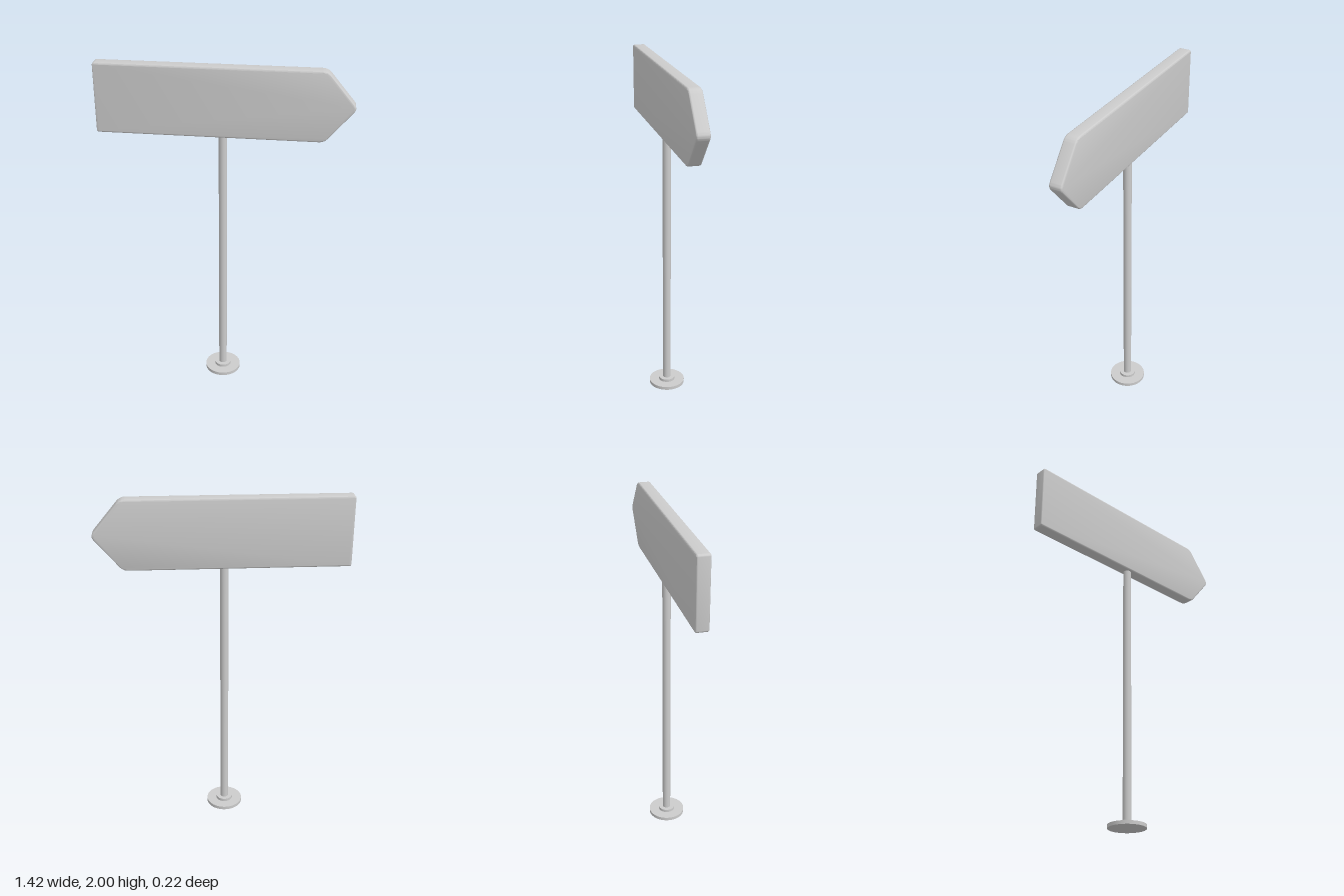
import * as THREE from 'three';
import { toCreasedNormals } from 'three/addons/utils/BufferGeometryUtils.js';

const material = new THREE.MeshStandardMaterial({ color: 0xcccccc });
const POST_X = -0.005;

// Closed outline whose corners [x, y, cut] are rounded off
function roundedOutline(corners) {
  const shape = new THREE.Shape();
  const n = corners.length;
  corners.forEach(([x, y, cut], i) => {
    const p = new THREE.Vector2(x, y);
    const toward = ([qx, qy]) =>
      new THREE.Vector2(qx, qy).sub(p).setLength(cut).add(p);
    const a = toward(corners[(i + n - 1) % n]);
    const b = toward(corners[(i + 1) % n]);
    if (i === 0) shape.moveTo(a.x, a.y);
    else shape.lineTo(a.x, a.y);
    shape.quadraticCurveTo(x, y, b.x, b.y);
  });
  shape.closePath();
  return shape;
}

export function createModel() {
  const group = new THREE.Group();

  const add = (name, geometry) => {
    const mesh = new THREE.Mesh(geometry, material);
    mesh.name = name;
    group.add(mesh);
    return mesh;
  };
  const disc = (name, radius, y0, y1) =>
    add(name, new THREE.CylinderGeometry(radius, radius, y1 - y0, 48))
      .position.set(POST_X, (y0 + y1) / 2, 0);

  // Foot plate, collar and post
  disc('footPlate', 0.108, 0, 0.02);
  disc('collar', 0.049, 0.02, 0.037);
  disc('post', 0.024, 0.037, 1.62);

  // Arrow-shaped board with softened edges
  const thickness = 0.075, bevel = 0.01;
  const outline = roundedOutline([
    [-0.712, 1.6, 0.015],
    [0.553, 1.6, 0.03],
    [0.721, 1.8, 0.03],
    [0.553, 2, 0.03],
    [-0.712, 2, 0.015],
  ]);
  const board = new THREE.ExtrudeGeometry(outline, {
    depth: thickness - 2 * bevel,
    bevelThickness: bevel,
    bevelSize: bevel,
    bevelOffset: -bevel,
    bevelSegments: 4,
    curveSegments: 8,
  });
  board.translate(0, 0, bevel - thickness / 2);
  add('arrowBoard', toCreasedNormals(board, Math.PI / 5));

  return group;
}
